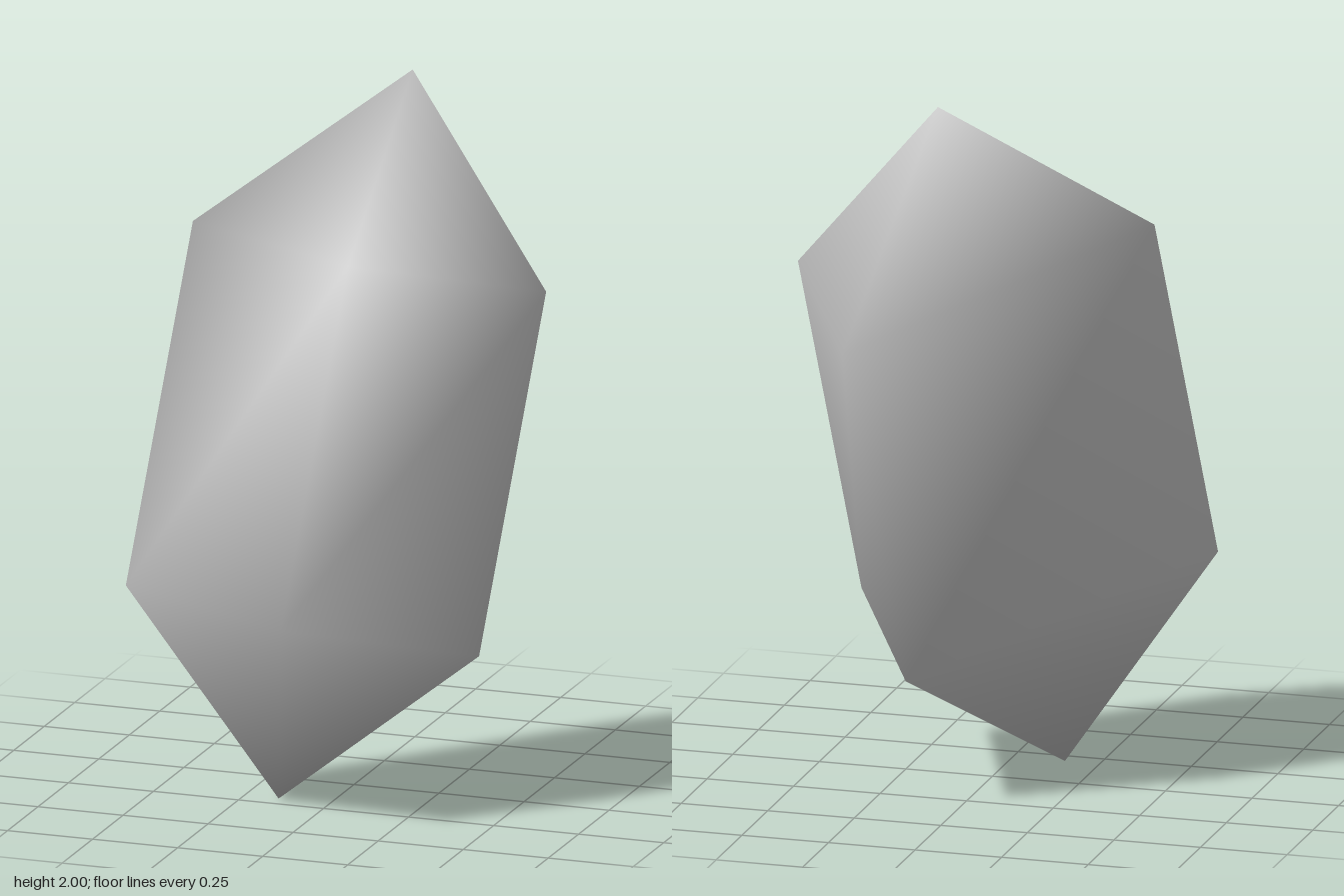
import * as THREE from 'three';

// Smooth crystal: four corners of a five-sided prism, pointed at both ends.
const RADIUS = 0.53;
const HALF_PRISM = 0.516;
const HALF_LENGTH = 1.032;
const CORNERS = 4;

function crystalGeometry() {
  const positions = [0, HALF_LENGTH, 0, 0, -HALF_LENGTH, 0]; // 0 = top tip, 1 = bottom tip
  for (const y of [HALF_PRISM, -HALF_PRISM]) {
    for (let i = 0; i < CORNERS; i++) {
      const a = (i * Math.PI * 2) / 5;
      positions.push(RADIUS * Math.cos(a), y, RADIUS * Math.sin(a));
    }
  }
  const upper = (i) => 2 + (i % CORNERS);
  const lower = (i) => 2 + CORNERS + (i % CORNERS);

  const index = [];
  for (let i = 0; i < CORNERS; i++) {
    const j = i + 1;
    index.push(0, upper(j), upper(i)); // upper point
    index.push(upper(i), upper(j), lower(j), upper(i), lower(j), lower(i)); // side
    index.push(1, lower(i), lower(j)); // lower point
  }

  const geometry = new THREE.BufferGeometry();
  geometry.setAttribute('position', new THREE.Float32BufferAttribute(positions, 3));
  geometry.setIndex(index);

  // Lean the long axis and turn the first corner to the back
  const axis = new THREE.Vector3(0.115, 1, -0.23).normalize();
  const side = new THREE.Vector3(0.893, 0.001, 0.451).normalize();
  const corner = new THREE.Vector3().crossVectors(axis, side).normalize();
  side.crossVectors(corner, axis);
  geometry.applyMatrix4(new THREE.Matrix4().makeBasis(corner, axis, side));
  geometry.translate(-0.035, 1, -0.03);
  geometry.computeVertexNormals();
  return geometry;
}

export function createModel() {
  const group = new THREE.Group();
  group.name = 'crystalModel';
  const material = new THREE.MeshStandardMaterial({ color: 0xcccccc });
  material.name = 'light grey stone';
  const crystal = new THREE.Mesh(crystalGeometry(), material);
  crystal.name = 'crystal';
  group.add(crystal);
  return group;
}
